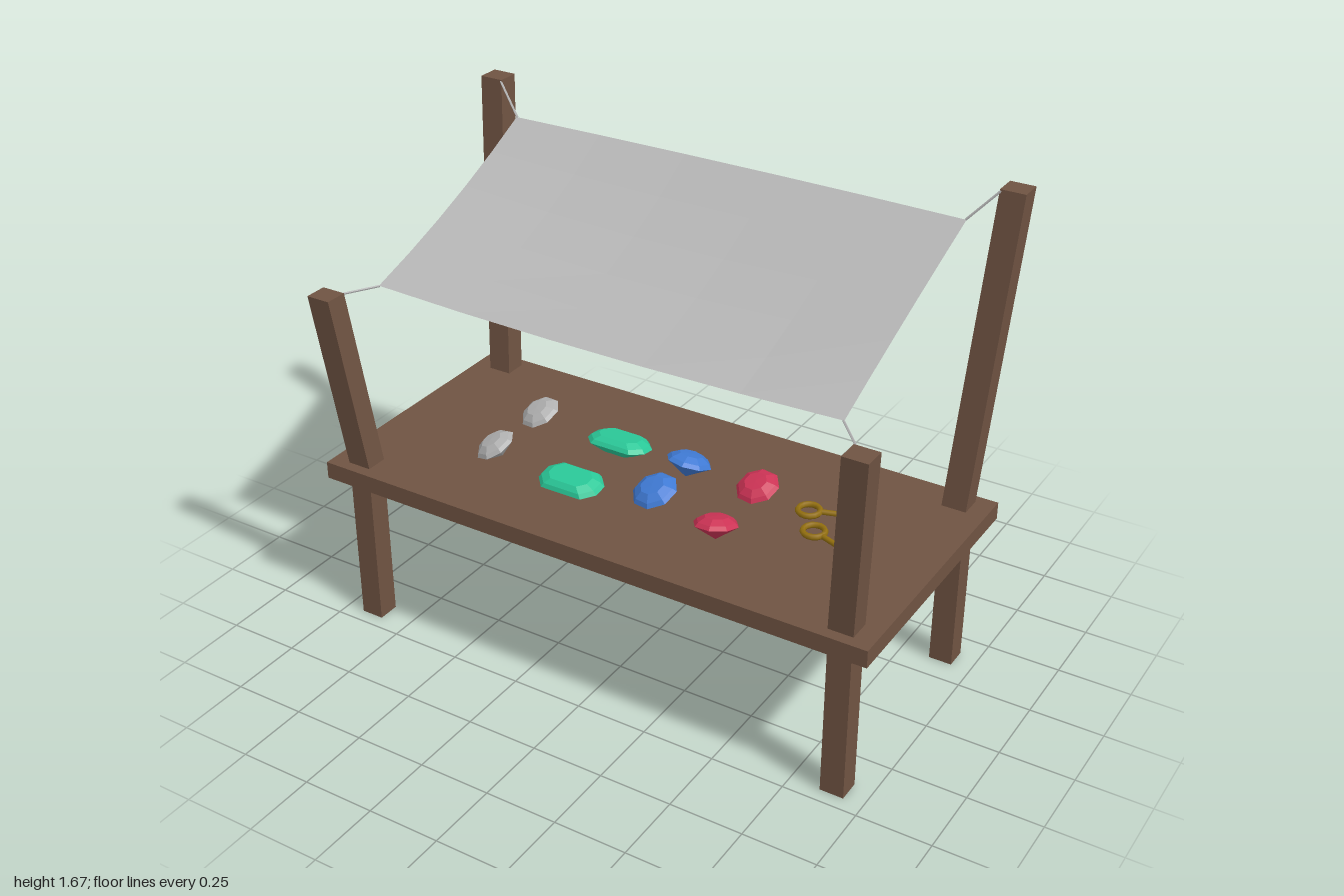
import * as THREE from 'three';

const mat = (name, color, extra = {}) => {
  const m = new THREE.MeshStandardMaterial({ color, ...extra });
  m.name = name;
  return m;
};

export function createModel() {
  const model = new THREE.Group();
  model.name = 'marketStall';

  const wood = mat('wood', 0x6f5342);
  const cloth = mat('cloth', 0xb6b6b6, { side: THREE.DoubleSide, flatShading: true });
  const gold = mat('gold', 0x94700f);
  const silver = mat('silver', 0xb0b0b0, { flatShading: true });
  const green = mat('green', 0x2ac898, { flatShading: true });
  const blue = mat('blue', 0x3f7ad4, { flatShading: true });
  const red = mat('red', 0xcc3355, { flatShading: true });

  const add = (name, geo, material, parent = model) => {
    const mesh = new THREE.Mesh(geo, material);
    mesh.name = name;
    parent.add(mesh);
    return mesh;
  };

  // Table top
  add('tableTop', new THREE.BoxGeometry(2, 0.06, 0.94), wood).position.set(0, 0.57, 0.02);

  // Straight legs, and posts that lean outward above the table
  function leaningPost(base, top, y0, y1, w) {
    const g = new THREE.BoxGeometry(w, y1 - y0, 0.077);
    const p = g.attributes.position;
    for (let i = 0; i < p.count; i++) {
      const end = p.getY(i) > 0 ? top : base;
      p.setXYZ(i, p.getX(i) + end[0], p.getY(i) + (y0 + y1) / 2, p.getZ(i) + end[1]);
    }
    g.computeVertexNormals();
    return g;
  }
  for (const s of [-1, 1]) {
    for (const z of [0.413, -0.378]) {
      const front = z > 0;
      const height = front ? 1.23 : 1.665;
      const top = front ? [s * 0.94, 0.484] : [s * 0.95, -0.482];
      add(front ? 'frontLeg' : 'backLeg', new THREE.BoxGeometry(0.08, 0.54, 0.077), wood)
        .position.set(s * 0.893, 0.27, z);
      // The right front post has a gilded inner face
      const skin = front && s < 0 ? [wood, wood, wood, wood, wood, gold] : wood;
      add(front ? 'frontPost' : 'backPost',
        leaningPost([s * 0.893, z], top, 0.6, height, 0.084), skin);
    }
  }

  // Sagging cloth canopy
  const canopy = new THREE.PlaneGeometry(2, 2, 5, 5);
  const cp = canopy.attributes.position;
  for (let i = 0; i < cp.count; i++) {
    const u = cp.getX(i), v = cp.getY(i);          // v: -1 front, 1 back
    const t = (v + 1) / 2;
    const across = 1 - u * u, along = 1 - v * v;
    const y = 1.24 + 0.32 * t - 0.03 * across * along - 0.012 * along - 0.012 * across * (1 - t);
    const z = 0.36 - 0.77 * t + (0.007 - 0.019 * t) * across;
    cp.setXYZ(i, u * (0.825 - 0.008 * along), y, z);
  }
  canopy.computeVertexNormals();
  add('canopy', canopy, cloth);

  // Cords from the canopy corners to the posts
  for (const s of [-1, 1]) {
    const ends = [
      [[s * 0.822, 1.24, 0.36], [s * 0.91, 1.225, 0.45]],
      [[s * 0.822, 1.56, -0.41], [s * 0.912, 1.66, -0.445]],
    ];
    for (const [a, b] of ends) {
      const line = new THREE.LineCurve3(new THREE.Vector3(...a), new THREE.Vector3(...b));
      add('cord', new THREE.TubeGeometry(line, 1, 0.004, 5), cloth);
    }
  }

  // Round cut gems: pointed below, flat table above
  const roundGem = (r) => new THREE.LatheGeometry([
    [0, -0.62], [1, 0.03], [0.86, 0.2], [0.52, 0.4], [0, 0.42],
  ].map(([x, y]) => new THREE.Vector2(x * r, y * r)), 8);

  const gems = [
    ['silverGem', silver, 0.072, -0.53, 0.655, 0.18, 0.25, 0.4],
    ['silverGem', silver, 0.072, -0.53, 0.655, -0.08, 0.35, 0.25],
    ['blueGem', blue, 0.078, 0.075, 0.657, 0.15, 0.35, 0.15],
    ['blueGem', blue, 0.078, 0.075, 0.657, -0.06, -0.3, -0.1],
    ['redGem', red, 0.074, 0.335, 0.65, 0.21, -0.25, 0.1],
    ['redGem', red, 0.074, 0.335, 0.65, -0.055, 0.35, 0.1],
  ];
  for (const [name, material, r, x, y, z, rx, rz] of gems) {
    const gem = add(name, roundGem(r), material);
    gem.position.set(x, y, z);
    gem.rotation.set(rx, 0.2, rz);
  }

  // Long step-cut gems: stacked eight-sided rings
  function longGem() {
    const rings = [[0.5, -0.032], [1, -0.002], [0.9, 0.012], [0.66, 0.026]];
    const outline = [[0.112, 0.025], [0.075, 0.066], [-0.075, 0.066], [-0.112, 0.025],
      [-0.112, -0.025], [-0.075, -0.066], [0.075, -0.066], [0.112, -0.025]];
    const pos = [], idx = [], n = outline.length;
    for (const [k, y] of rings) for (const [x, z] of outline) pos.push(x * k, y, z * k);
    for (let r = 0; r < rings.length - 1; r++) {
      for (let i = 0; i < n; i++) {
        const a = r * n + i, b = r * n + (i + 1) % n;
        idx.push(a, a + n, b, b, a + n, b + n);
      }
    }
    const t = (rings.length - 1) * n;
    for (let i = 1; i < n - 1; i++) idx.push(0, i, i + 1, t, t + i + 1, t + i);
    const g = new THREE.BufferGeometry();
    g.setAttribute('position', new THREE.Float32BufferAttribute(pos, 3));
    // Outline runs clockwise from above, so reverse every face outward
    const flipped = [];
    for (let i = 0; i < idx.length; i += 3) flipped.push(idx[i], idx[i + 1], idx[i + 2]);
    g.setIndex(outwards(pos, flipped));
    g.computeVertexNormals();
    return g;
  }
  // Orients the faces of a convex solid around the origin
  function outwards(pos, idx) {
    const v = (i) => new THREE.Vector3().fromArray(pos, i * 3);
    const out = [];
    for (let i = 0; i < idx.length; i += 3) {
      const [a, b, c] = idx.slice(i, i + 3);
      const normal = v(b).sub(v(a)).cross(v(c).sub(v(a)));
      const outside = normal.dot(v(a).add(v(b)).add(v(c))) > 0;
      out.push(a, outside ? b : c, outside ? c : b);
    }
    return out;
  }
  for (const z of [0.22, -0.07]) {
    const gem = add('greenGem', longGem(), green);
    gem.position.set(-0.2, 0.643, z);
    gem.rotation.x = z > 0 ? 0.15 : -0.15;
  }

  // Two gold keys lying on the table
  function key(length) {
    const g = new THREE.Group();
    g.name = 'goldKey';
    const bow = add('keyBow', new THREE.TorusGeometry(0.036, 0.01, 6, 14), gold, g);
    bow.rotation.x = Math.PI / 2;
    bow.position.x = 0.045;
    const shaft = add('keyShaft', new THREE.CylinderGeometry(0.009, 0.009, length - 0.08, 8), gold, g);
    shaft.rotation.z = Math.PI / 2;
    shaft.position.x = (length + 0.08) / 2;
    for (const d of [0.015, 0.05]) {
      add('keyTooth', new THREE.BoxGeometry(0.018, 0.012, 0.045), gold, g)
        .position.set(length - d, 0, -0.025);
    }
    model.add(g);
    return g;
  }
  const upperKey = key(0.245);
  upperKey.position.set(0.49, 0.64, -0.02);
  upperKey.rotation.y = 0.3;
  const lowerKey = key(0.22);
  lowerKey.position.set(0.545, 0.618, 0.02);
  lowerKey.rotation.y = -0.35;

  return model;
}
